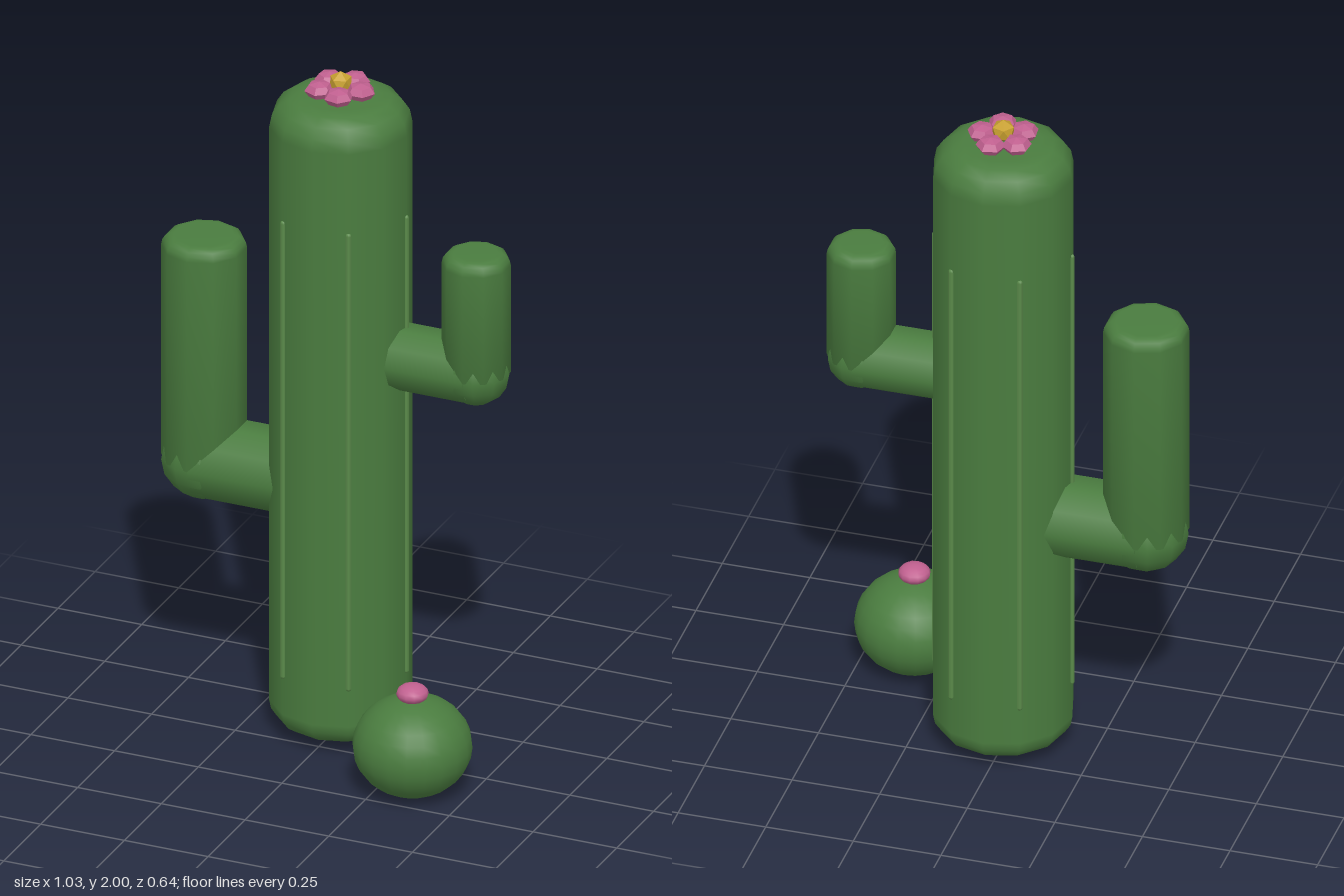
import * as THREE from 'three';

const paint = (color, flatShading = false) => new THREE.MeshStandardMaterial({ color, flatShading });
const green = paint(0x4a7c3f);
const ribGreen = paint(0x5a8a4a);
const pink = paint(0xc0608f);
const petalPink = paint(0xc0608f, true);
const gold = paint(0xc8a030, true);

function add(parent, name, geometry, material, x = 0, y = 0, z = 0) {
  const mesh = new THREE.Mesh(geometry, material);
  mesh.name = name;
  mesh.position.set(x, y, z);
  parent.add(mesh);
  return mesh;
}

// Upright column with rounded rims; bottomRound = 0 leaves a plain lower end
function column(radius, y0, y1, round, bottomRound, sides) {
  const points = [new THREE.Vector2(0, y0)];
  const rim = (y, r, start) => {
    for (let i = 0; i <= 4; i++) {
      const a = start + (i / 4) * Math.PI / 2;
      points.push(new THREE.Vector2(radius - r + r * Math.cos(a), y + r * Math.sin(a)));
    }
  };
  if (bottomRound) rim(y0 + bottomRound, bottomRound, -Math.PI / 2);
  else points.push(new THREE.Vector2(radius, y0));
  rim(y1 - round, round, 0);
  points.push(new THREE.Vector2(0, y1));
  return new THREE.LatheGeometry(points, sides);
}

// Arm: branch from the trunk, elbow ball and upright
function addArm(parent, name, x, y, top, radius) {
  const arm = new THREE.Group();
  arm.name = name;
  const branch = add(arm, 'branch', new THREE.CylinderGeometry(radius, radius, Math.abs(x), 10), green, x / 2, y);
  branch.rotation.z = Math.PI / 2;
  add(arm, 'elbow', new THREE.SphereGeometry(radius * 1.02, 10, 8), green, x, y);
  add(arm, 'upright', column(radius, y, top, 0.035, 0, 10), green, x);
  parent.add(arm);
}

export function createModel() {
  const model = new THREE.Group();
  model.name = 'cactus';

  const tall = new THREE.Group();
  tall.name = 'tallCactus';
  tall.position.set(0.01, 0, -0.125);
  model.add(tall);

  add(tall, 'trunk', column(0.197, 0.03, 1.93, 0.09, 0.07, 12), green);

  // Six slim ribs around the trunk
  for (let i = 0; i < 6; i++) {
    const a = i * Math.PI / 3;
    add(tall, 'rib', new THREE.CapsuleGeometry(0.009, 1.375, 2, 6), ribGreen,
      0.195 * Math.cos(a), 0.905, 0.195 * Math.sin(a));
  }

  addArm(tall, 'rightArm', -0.408, 0.752, 1.425, 0.118);
  addArm(tall, 'leftArm', 0.405, 1.17, 1.53, 0.095);

  // Flower on the crown
  const flower = new THREE.Group();
  flower.name = 'flower';
  flower.position.y = 1.95;
  tall.add(flower);
  for (let i = 0; i < 5; i++) {
    const a = i * Math.PI * 2 / 5;
    const petal = add(flower, 'petal', new THREE.SphereGeometry(0.042, 6, 4), petalPink,
      0.06 * Math.cos(a), 0, 0.06 * Math.sin(a));
    petal.scale.y = 0.58;
    petal.rotation.y = -a;
  }
  const heart = new THREE.IcosahedronGeometry(0.034, 0);
  heart.rotateZ(Math.atan(2 / (1 + Math.sqrt(5))));
  add(flower, 'flowerCentre', heart, gold, 0, 0.016, 0);

  // Small round cactus with a bud
  const ball = add(model, 'smallCactus', new THREE.SphereGeometry(0.165, 20, 14), green, 0.348, 0.143, 0.155);
  ball.scale.y = 0.143 / 0.165;
  const bud = add(model, 'bud', new THREE.SphereGeometry(0.045, 12, 8), pink, 0.348, 0.3, 0.155);
  bud.scale.y = 0.6;

  return model;
}
